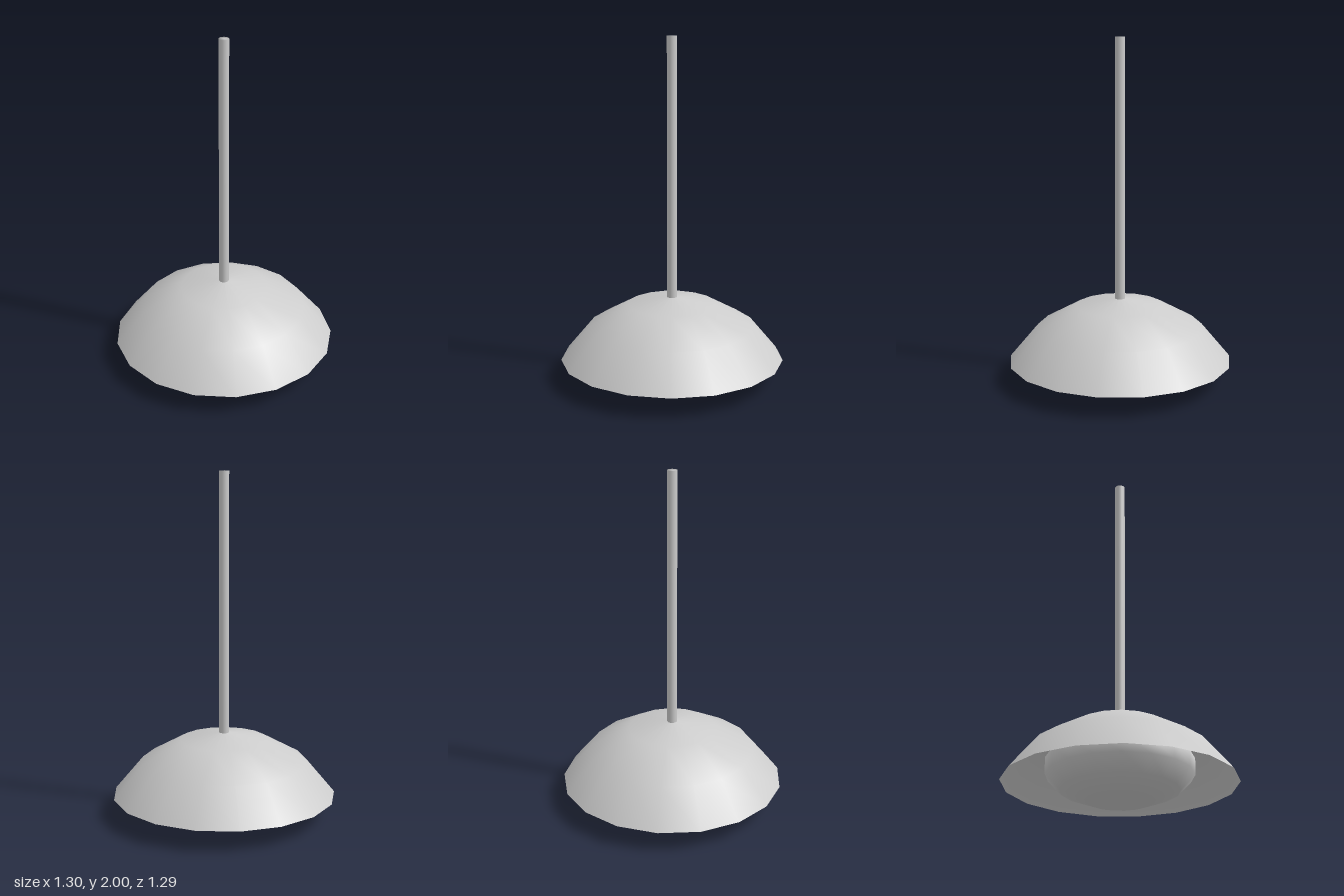
import * as THREE from 'three';

const SIDES = 17;

export function createModel() {
  const group = new THREE.Group();
  const solid = new THREE.MeshStandardMaterial({ color: 0xcccccc });
  const thin = new THREE.MeshStandardMaterial({ color: 0xcccccc, side: THREE.DoubleSide });

  const add = (name, geometry, material) => {
    const mesh = new THREE.Mesh(geometry, material);
    mesh.name = name;
    group.add(mesh);
    return mesh;
  };

  // Revolves a profile of [radius, y] pairs, with a corner pointing to the back
  const revolve = (profile) => new THREE.LatheGeometry(
    profile.map(([r, y]) => new THREE.Vector2(r, y)), SIDES, Math.PI);

  // Hanging rod, closed at both ends
  add('rod', revolve([[0, 0.49], [0.029, 0.49], [0.029, 2], [0, 2]]), solid);

  // Thin open shade
  add('shade', revolve([[0.651, 0.122], [0.484, 0.322], [0.256, 0.45], [0, 0.496]]), thin);

  // Flattened globe under the shade
  const globe = new THREE.SphereGeometry(0.42, SIDES, 7, -Math.PI / 2);
  globe.scale(1, 0.495, 1);
  add('globe', globe, solid).position.y = 0.21;

  return group;
}
